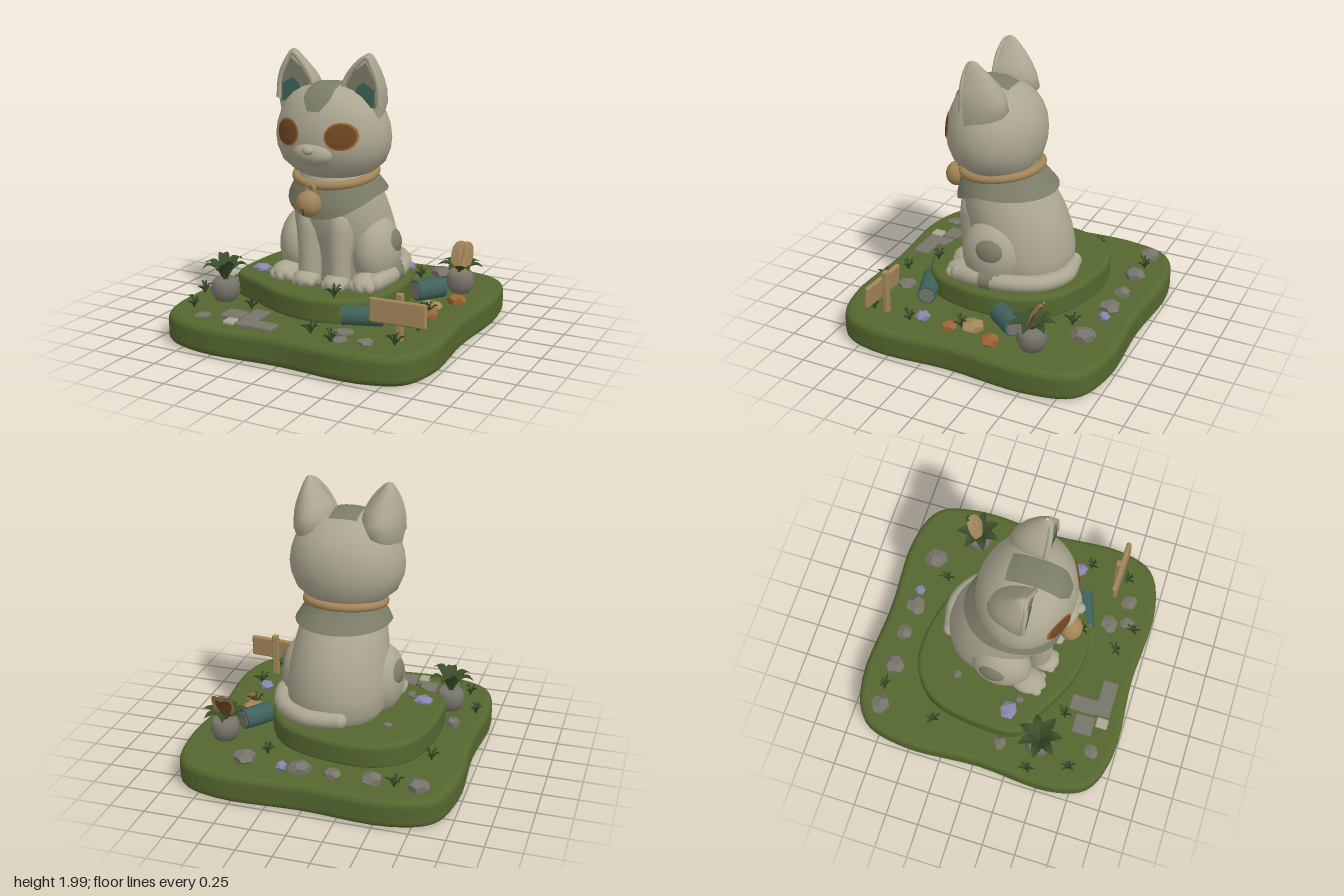
import * as THREE from 'three';
import { mergeVertices } from 'three/addons/utils/BufferGeometryUtils.js';
import { RoundedBoxGeometry } from 'three/addons/geometries/RoundedBoxGeometry.js';

const mat = (name, color, side = THREE.FrontSide) => {
  const m = new THREE.MeshStandardMaterial({ color, side });
  m.name = name;
  return m;
};
const D = THREE.DoubleSide;
const M = {
  statue: mat('pale statue stone', 0xaca791), patch: mat('grey patch', 0x7c7d68, D),
  grass: mat('grass', 0x55672f), tan: mat('tan', 0xa28558, D), brown: mat('brown', 0x704722, D),
  teal: mat('teal', 0x3f625a, D), stone: mat('grey stone', 0x77756a), leaf: mat('leaf green', 0x3a4d2a, D),
  lilac: mat('lilac crystal', 0x8886ac), orange: mat('orange', 0x9a6634, D),
};

// Smooth surface from a rule over u (rightwards) and v (upwards)
function grid(nu, nv, fn) {
  const pos = [], idx = [];
  for (let j = 0; j <= nv; j++) for (let i = 0; i <= nu; i++) pos.push(...fn(i / nu, j / nv));
  for (let j = 0; j < nv; j++) for (let i = 0; i < nu; i++) {
    const a = j * (nu + 1) + i, d = a + nu + 1;
    idx.push(a, a + 1, d + 1, a, d + 1, d);
  }
  let g = new THREE.BufferGeometry();
  g.setAttribute('position', new THREE.Float32BufferAttribute(pos, 3));
  g.setIndex(idx);
  g = mergeVertices(g, 1e-5);
  g.computeVertexNormals();
  return g;
}

// Sections are [y, half width, front z, back z, centre x, centre z]
const full = s => [s[0], s[1], s[2], s[3], s[4] ?? 0, s[5] ?? (s[2] + s[3]) / 2];
function sectionAt(secs, y) {
  let i = 0;
  while (i < secs.length - 2 && y > secs[i + 1][0]) i++;
  const a = full(secs[i]), b = full(secs[i + 1]);
  const t = THREE.MathUtils.clamp((y - a[0]) / (b[0] - a[0]), 0, 1);
  return a.map((v, k) => v + (b[k] - v) * t);
}
function ringPoint(s, angle, pad = 0) {
  const [y, w, f, b, cx, cz] = s, c = Math.cos(angle);
  return [cx + Math.sin(angle) * (w + pad), y, cz + c * ((c > 0 ? f - cz : cz - b) + pad)];
}
const loft = (secs, n = 40) => grid(n, secs.length - 1, (u, v) =>
  ringPoint(full(secs[Math.round(v * (secs.length - 1))]), u === 1 ? 0 : u * Math.PI * 2));

// Walks from inside a lofted form to its surface, plus a small offset
function surface(secs, o, d, off) {
  let lo = 0, hi = 1;
  for (let k = 0; k < 24; k++) {
    const t = (lo + hi) / 2, [x, y, z] = o.map((v, i) => v + d[i] * t);
    const [, w, f, b, cx, cz] = sectionAt(secs, y);
    const dz = z > cz ? f - cz : cz - b;
    const inside = y < secs.at(-1)[0] && ((x - cx) / w) ** 2 + ((z - cz) / dz) ** 2 < 1;
    if (inside) lo = t; else hi = t;
  }
  return o.map((v, i) => v + d[i] * (lo + off));
}

const HEAD = [[1.13, .01, .12, .1], [1.14, .18, .29, -.08], [1.18, .28, .36, -.15], [1.25, .365, .42, -.195],
  [1.34, .402, .45, -.22], [1.42, .412, .458, -.225], [1.5, .402, .45, -.218], [1.58, .375, .43, -.19],
  [1.65, .335, .4, -.145], [1.71, .275, .36, -.08], [1.75, .205, .315, -.02], [1.775, .12, .26, .05], [1.787, .005, .16, .14]];
const BODY = [[.37, .3, .18, -.4], [.45, .35, .2, -.45], [.58, .36, .24, -.455], [.72, .355, .3, -.43], [.85, .335, .34, -.385],
  [.95, .315, .355, -.33], [1.05, .285, .35, -.265], [1.12, .26, .335, -.21], [1.22, .23, .3, -.16]];
const EAR = [[1.55, .11, .2, .0, .26, .18], [1.66, .145, .2, -.08, .248, .18], [1.75, .15, .2, -.06, .243, .18], [1.82, .128, .2, -.02, .252, .18],
  [1.89, .088, .2, .03, .268, .18], [1.95, .052, .195, .085, .28, .175], [1.985, .028, .185, .12, .284, .165], [2, .004, .165, .145, .284, .157]];

export function createModel() {
  const root = new THREE.Group();
  const add = (name, geo, m, p = [0, 0, 0], s = [1, 1, 1], r = [0, 0, 0]) => {
    const mesh = new THREE.Mesh(geo, m);
    mesh.name = name;
    mesh.position.set(...p); mesh.scale.set(...s); mesh.rotation.set(...r);
    root.add(mesh);
    return mesh;
  };
  const ball = new THREE.SphereGeometry(1, 28, 18);
  const tube = (pts, r, closed = false, n = 48) =>
    new THREE.TubeGeometry(new THREE.CatmullRomCurve3(pts.map(p => new THREE.Vector3(...p)), closed), n, r, 12, closed);

  // Ground slabs: curved outlines in x and z, with rounded edges
  const slab = (name, pts, y0, y1, bevel) => {
    const curve = new THREE.CatmullRomCurve3(pts.map(([x, z]) => new THREE.Vector3(x, -z, 0)), true);
    const shape = new THREE.Shape(curve.getPoints(80).slice(0, 80));
    const g = new THREE.ExtrudeGeometry(shape, { depth: y1 - y0 - 2 * bevel, bevelSize: bevel, bevelThickness: bevel, bevelOffset: -bevel, bevelSegments: 4 });
    g.rotateX(-Math.PI / 2);
    add(name, g, M.grass, [0, y0 + bevel, 0]);
  };
  slab('groundBase', [[-.96, .05], [-.985, .6], [-.89, .87], [-.6, .985], [0, .965], [.6, .985], [.89, .87], [.985, .6],
    [.96, .05], [.985, -.55], [.89, -.87], [.6, -.985], [0, -.97], [-.6, -.99], [-.89, -.87], [-.985, -.55]], .01, .22, .05);
  slab('mound', [[-.72, 0], [-.69, .28], [-.48, .4], [-.2, .54], [.1, .58], [.36, .47], [.48, .15], [.46, -.2], [.3, -.46],
    [0, -.59], [-.4, -.6], [-.63, -.42]], .2, .385, .035);

  // Head and face
  add('head', loft(HEAD), M.statue);
  add('muzzle', ball, M.statue, [0, 1.34, .41], [.15, .085, .085]);
  add('nose', ball, M.statue, [0, 1.375, .485], [.04, .03, .04]);
  add('foreheadPatch', grid(10, 20, (u, v) => {
    const a = 1.18 - v * 1.65, w = .1 * Math.min(1, .45 + v * 3);
    return surface(HEAD, [(u * 2 - 1) * w, 1.5, .12], [0, Math.cos(a), Math.sin(a)], .008);
  }), M.patch);
  for (const s of [-1, 1]) {
    const disc = (r, off) => grid(24, 4, (u, v) => {
      const a = u * Math.PI * 2, q = r * (1 - v);
      return surface(HEAD, [s * .2 + q * Math.cos(a), 1.47 + q * .88 * Math.sin(a), .12], [0, 0, 1], off);
    });
    add('eyeRim', disc(.106, .005), M.orange);
    add('eye', disc(.094, .009), M.brown);

    // Ears: rounded back, rimmed flat front
    const secs = EAR.map(e => [e[0], e[1], e[2], e[3], e[4] * s, e[5]]);
    add('ear', loft(secs, 28), M.statue);
    add('earRim', tube([[.1, 1.72, .2], [.13, 1.81, .2], [.2, 1.91, .2], [.278, 1.97, .185], [.335, 1.89, .2], [.368, 1.8, .2], [.382, 1.66, .2]]
      .map(([x, y, z]) => [x * s, y, z]), .018), M.statue);
    const plate = (name, pts, z, m) => add(name, new THREE.ShapeGeometry(new THREE.Shape(pts.map(([x, y]) => new THREE.Vector2(x * s, y)))), m, [0, 0, z]);
    plate('innerEar', [[.14, 1.66], [.36, 1.64], [.355, 1.8], [.285, 1.94], [.2, 1.88], [.14, 1.79]], .206, M.patch);
    plate('innerEarTip', [[.18, 1.66], [.35, 1.64], [.35, 1.76], [.27, 1.81], [.22, 1.77]], .211, M.teal);

    // Legs
    add('frontLeg', loft([[.38, .08, .34, .18], [.6, .078, .345, .16], [.78, .1, .355, .1], [.88, .08, .345, .12], [.93, .01, .3, .25]]
      .map(l => [...l, s * .115]), 24), M.statue);
    add('frontPaw', ball, M.statue, [s * .115, .425, .31], [.093, .06, .1]);
    add('haunch', ball, M.statue, [s * .285, .6, .02], [.16, .25, .225]);
    add('haunchPatch', ball, M.patch, [s * .38, .66, 0], [.07, .11, .12]);
    add('hindPaw', ball, M.statue, [s * .31, .435, .23], [.105, .065, .13]);
    for (const k of [-1, 0, 1]) {
      add('frontToe', ball, M.statue, [s * .115 + k * .055, .415, .375 - Math.abs(k) * .015], [.032, .035, .035]);
      add('hindToe', ball, M.statue, [s * .31 + k * .06, .42, .33 - Math.abs(k) * .02], [.036, .04, .04]);
    }
  }

  // Body and curled tail
  add('body', loft(BODY), M.statue);
  const tailPts = [[-.1, .45, -.43], [.12, .455, -.46], [.31, .46, -.35], [.405, .46, -.13], [.41, .45, .08], [.38, .44, .24]];
  add('tail', tube(tailPts, .06), M.statue);
  for (const p of [tailPts[0], tailPts.at(-1)]) add('tailEnd', ball, M.statue, p, [.06, .06, .06]);
  add('tailBand', tube([[.395, .46, -.09], [.411, .457, -.02], [.412, .453, .05]], .066, false, 8), M.patch);

  // Neck scarf, collar and bell
  add('scarf', grid(48, 8, (u, v) => {
    const a = u === 1 ? 0 : u * Math.PI * 2, c = Math.cos(a), f = Math.max(0, c);
    const y = THREE.MathUtils.lerp(1.03 - .15 * f * f, 1.15 - .04 * c, v);
    return ringPoint(sectionAt(BODY, y), a, .02 + .03 * (1 - v));
  }), M.patch);
  const ring = [];
  for (let i = 0; i < 16; i++) {
    const a = i / 8 * Math.PI;
    ring.push([.275 * Math.sin(a), 1.15 - .04 * Math.cos(a), .08 + .28 * Math.cos(a)]);
  }
  add('collar', tube(ring, .03, true, 64), M.tan);
  add('bell', ball, M.tan, [-.02, 1, .45], [.09, .09, .082]);
  add('bellLoop', new THREE.TorusGeometry(.03, .013, 8, 16), M.tan, [-.02, 1.095, .42]);
  add('bellSlot', new THREE.BoxGeometry(.012, .05, .008), M.brown, [-.02, .96, .525], [1, 1, 1], [.4, 0, 0]);

  // Loose stones: x, z, radius, height, floor level
  const rock = new THREE.DodecahedronGeometry(1), gem = new THREE.IcosahedronGeometry(1);
  const scatter = (name, geo, m, list) => list.forEach(([x, z, r, h, y = .22], i) =>
    add(name, geo, m, [x, y + h * .35, z], [r, h * .65, r * .95], [0, i * 1.3, 0]));
  scatter('rock', rock, M.stone, [[-.76, -.78, .08, .07], [-.44, -.78, .08, .07], [-.17, -.79, .065, .06], [.06, -.78, .085, .07],
    [.47, -.75, .09, .07], [-.78, .16, .055, .07], [-.46, .21, .035, .04, .385], [-.41, -.28, .035, .02, .385],
    [-.64, .82, .06, .025], [.57, .78, .065, .03], [.36, .68, .075, .025], [.4, .81, .06, .025]]);
  scatter('crystal', gem, M.lilac, [[-.56, .16, .075, .05, .375], [.19, -.79, .045, .06], [.72, .35, .058, .06]]);
  scatter('orangeStone', rock, M.orange, [[.8, -.21, .07, .07], [.75, .13, .06, .05]]);
  scatter('tanStone', rock, M.tan, [[.68, -.02, .09, .06]]);

  // Paving slabs: x, z, width, depth
  for (const [x, z, w, d] of [[-.46, .71, .15, .15], [-.31, .67, .12, .2], [-.22, .82, .28, .12]])
    add('pavingSlab', new RoundedBoxGeometry(w, .04, d, 2, .012), M.stone, [x, .22, z]);
  add('paleSlab', new RoundedBoxGeometry(.08, .04, .09, 2, .012), M.statue, [-.41, .222, .84]);

  // Barrels lying on their sides
  for (const [x, z, dx, dz, len, r] of [[.4, .47, .28, -.1, .28, .068], [.58, -.23, .6, -.8, .22, .075]]) {
    const b = add('barrel', new THREE.CylinderGeometry(r, r, len, 16), M.teal, [x, .215 + r, z]);
    const dir = new THREE.Vector3(dx, 0, dz).normalize();
    b.quaternion.setFromUnitVectors(new THREE.Vector3(0, 1, 0), dir);
    for (const e of [-1, 1]) {
      const c = add('barrelEnd', new THREE.CylinderGeometry(r * .8, r * .8, .008, 16), M.stone, b.position.clone().addScaledVector(dir, e * len / 2).toArray());
      c.quaternion.copy(b.quaternion);
    }
  }

  // Signboard on a post
  add('signBoard', new RoundedBoxGeometry(.41, .165, .035, 3, .015), M.tan, [.74, .415, .655], [1, 1, 1], [-.08, -.03, .03]);
  add('signPost', new RoundedBoxGeometry(.05, .34, .04, 2, .01), M.tan, [.74, .37, .625]);

  // Leaves, potted plants and grass tufts
  const leaf = (name, m, p, yaw, len, rise, w, bend = 2.2) => add(name, grid(4, 8, (u, v) =>
    [(u * 2 - 1) * w * Math.sin(Math.PI * (.12 + .88 * v)), rise * Math.sin(v * bend) + .015 * Math.abs(u * 2 - 1) * Math.sin(Math.PI * v), len * v]), m, p, [1, 1, 1], [0, yaw, 0]);
  for (const [x, z] of [[-.7, .44], [.72, -.48]]) {
    add('pot', new THREE.LatheGeometry([[.001, 0], [.075, 0], [.105, .06], [.1, .12], [.08, .15], [.001, .145]].map(p => new THREE.Vector2(...p)), 12), M.stone, [x, .22, z]);
    for (let i = 0; i < 7; i++) leaf('plantLeaf', M.leaf, [x, .36, z], i * .9 + x, .17, x < 0 ? .12 + (i % 3) * .02 : .07, .04);
  }
  for (const k of [-1, 1]) leaf('driedLeaf', M.tan, [.72 + k * .04, .36, -.45], Math.PI + k * .2, .12, .21, .055, 1.6);
  leaf('driedLeaf', M.brown, [.72, .37, -.46], Math.PI, .1, .16, .06, 1.6);
  const tufts = [[-.75, -.37], [.35, -.62], [-.8, .69], [.78, .42], [-.6, -.8], [.17, .78], [.75, .72], [-.42, .55], [.2, .5, .385], [.7, .06], [.36, .86], [-.9, .4]];
  for (const [x, z, y = .215] of tufts)
    for (let i = 0; i < 7; i++) leaf('grassBlade', M.leaf, [x, y, z], i * .9 + x * 5, .04 + (i % 3) * .015, .05 + (i % 4) * .012, .009, 1.8);

  return root;
}
